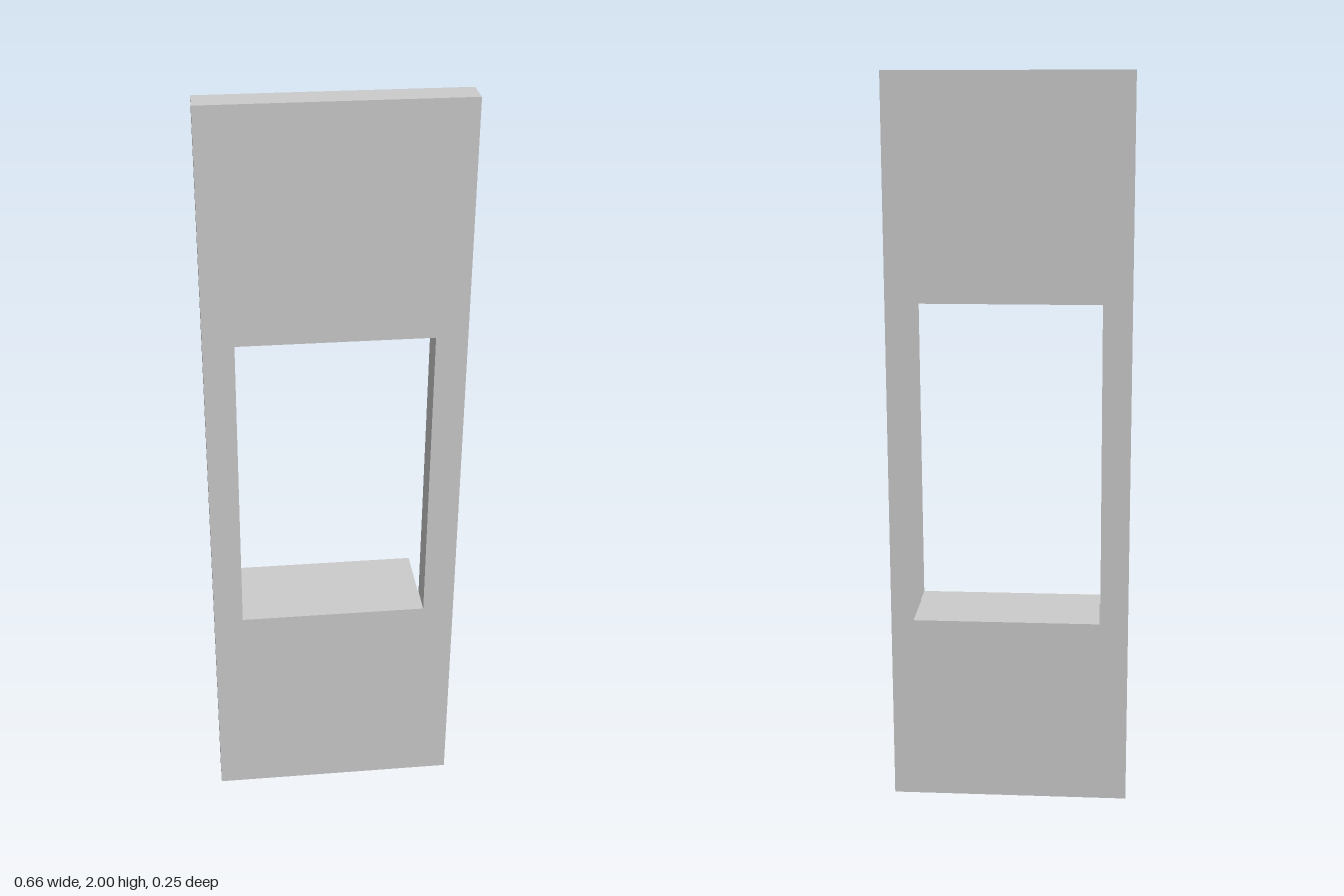
import * as THREE from 'three';

const material = new THREE.MeshStandardMaterial({ color: 0xcccccc, flatShading: true });

const points = (list) => list.map(([x, y]) => new THREE.Vector2(x, y));

function extrude(name, outline, depth, hole) {
  const shape = new THREE.Shape(points(outline));
  if (hole) shape.holes.push(new THREE.Path(points(hole)));
  const geometry = new THREE.ExtrudeGeometry(shape, { depth, bevelEnabled: false });
  const mesh = new THREE.Mesh(geometry, material);
  mesh.name = name;
  return mesh;
}

export function createModel() {
  const group = new THREE.Group();
  group.name = 'wallPanelWithHatch';

  // Tall panel, leaning very slightly sideways, with a rectangular opening
  const panel = extrude(
    'panel',
    [[-0.333, 0], [0.325, 0], [0.332, 2], [-0.326, 2]],
    0.082,
    [[-0.254, 0.578], [-0.249, 1.402], [0.249, 1.402], [0.244, 0.578]]
  );
  panel.position.z = 0.042;
  group.add(panel);

  // Tapered shelf behind the opening: side profile extruded along x
  const shelf = extrude(
    'shelf',
    [[-0.042, 0.5], [0.126, 0.55], [0.126, 0.578], [-0.042, 0.578]],
    0.494
  );
  shelf.rotation.y = Math.PI / 2;
  shelf.position.x = -0.252;
  group.add(shelf);

  return group;
}
